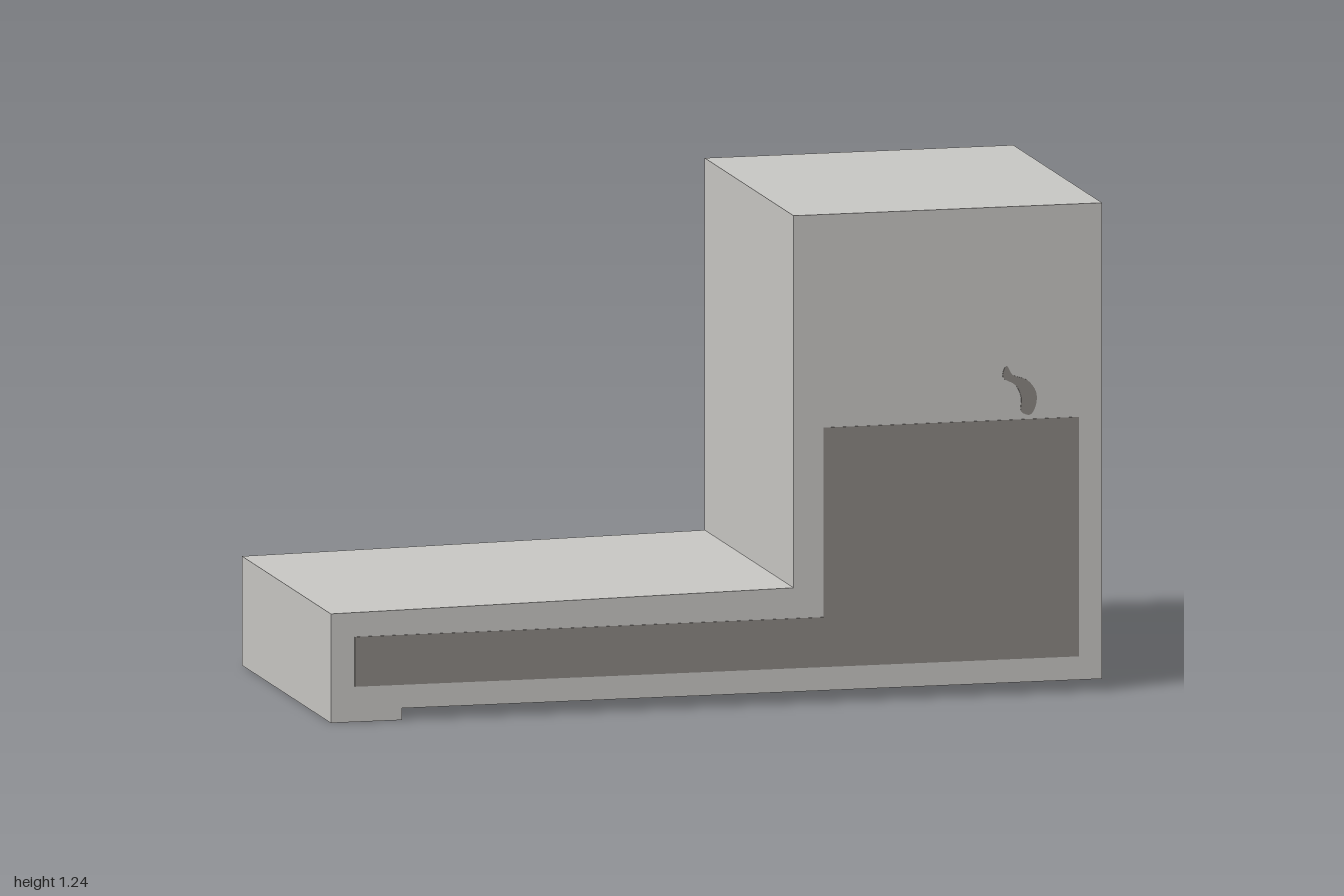
import * as THREE from 'three';

const HALF_DEPTH = 0.453;

function outline(points) {
  return new THREE.Shape(points.map(([x, y]) => new THREE.Vector2(x, y)));
}

// Flat extrusion centred on the given z
function slab(name, shape, depth, z, material) {
  const geometry = new THREE.ExtrudeGeometry(shape, { depth, bevelEnabled: false, curveSegments: 8 });
  geometry.translate(0, 0, z - depth / 2);
  const mesh = new THREE.Mesh(geometry, material);
  mesh.name = name;
  return mesh;
}

export function createModel() {
  const group = new THREE.Group();
  group.name = 'steppedBlock';
  const bodyGrey = new THREE.MeshStandardMaterial({ color: 0xc8c7c4 });
  bodyGrey.name = 'light grey';
  const panelGrey = new THREE.MeshStandardMaterial({ color: 0x8c8783 });
  panelGrey.name = 'warm dark grey';

  // L-shaped body with a shallow foot under its low end
  const body = outline([
    [-1, 0], [-0.815, 0], [-0.815, 0.03], [1, 0.03],
    [1, 1.243], [0.2, 1.243], [0.2, 0.295], [-1, 0.278],
  ]);
  group.add(slab('body', body, HALF_DEPTH * 2, 0, bodyGrey));

  // Matching dark panels on the front and back
  const panel = outline([
    [-0.938, 0.09], [0.94, 0.09], [0.94, 0.7],
    [0.277, 0.7], [0.277, 0.217], [-0.938, 0.217],
  ]);
  for (const side of [1, -1]) {
    group.add(slab(side > 0 ? 'frontPanel' : 'backPanel', panel, 0.004, side * HALF_DEPTH, panelGrey));
  }

  // Small curved patch above the front panel
  const patch = new THREE.Shape();
  patch.setFromPoints(new THREE.CatmullRomCurve3([
    [0.742, 0.81], [0.752, 0.838], [0.767, 0.815], [0.805, 0.8],
    [0.828, 0.77], [0.828, 0.735], [0.813, 0.711], [0.79, 0.72],
    [0.79, 0.755], [0.776, 0.787],
  ].map(([x, y]) => new THREE.Vector3(x, y, 0)), true).getPoints(40).slice(0, -1)
    .map((p) => new THREE.Vector2(p.x, p.y)));
  group.add(slab('frontPatch', patch, 0.004, HALF_DEPTH, panelGrey));

  // Tiny raised ring on the tall end
  const ring = new THREE.Mesh(new THREE.TorusGeometry(0.006, 0.002, 6, 12), bodyGrey);
  ring.name = 'sideRing';
  ring.rotation.y = Math.PI / 2;
  ring.position.set(0.999, 0.905, -0.153);
  group.add(ring);

  return group;
}
